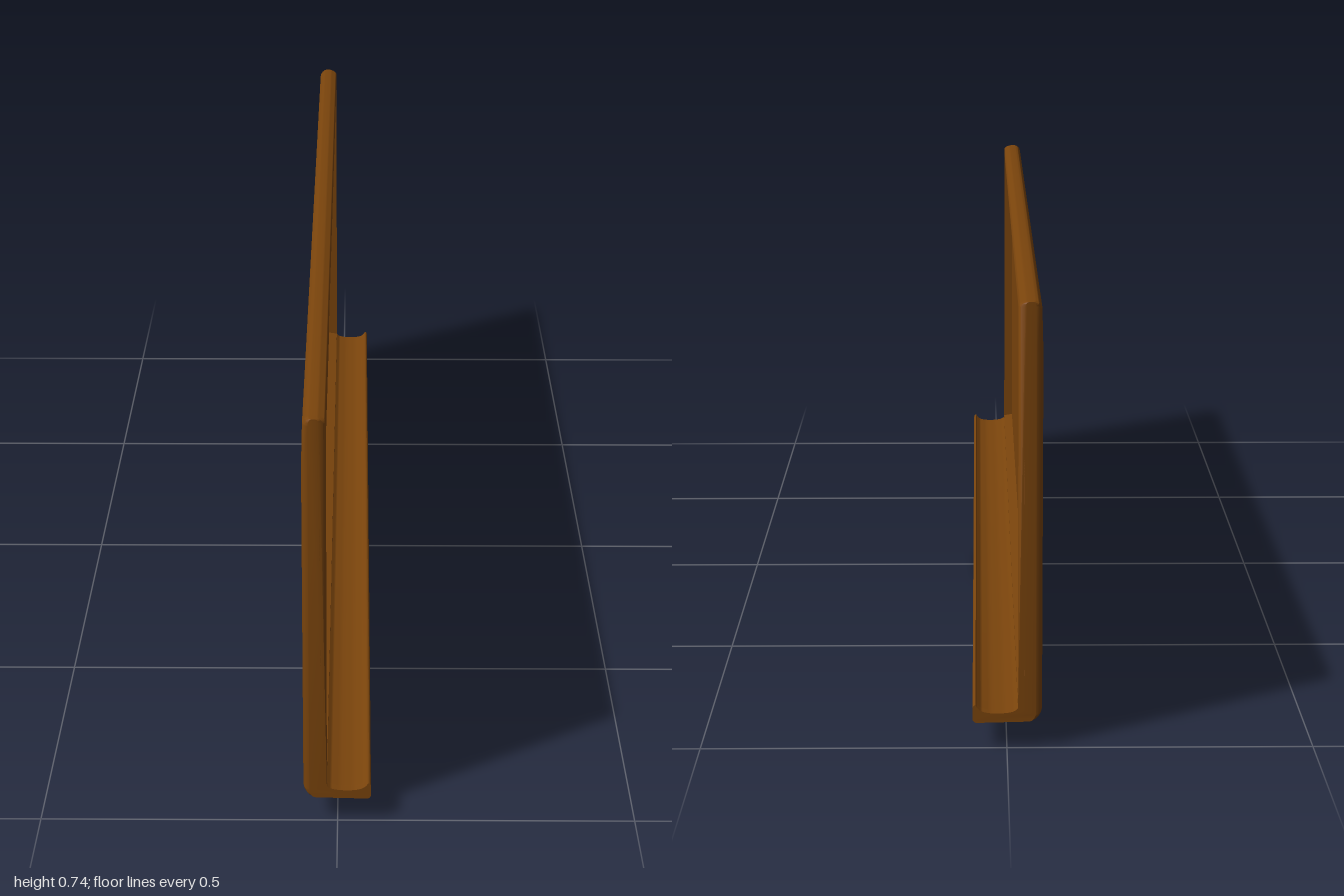
import * as THREE from 'three';
import { toCreasedNormals } from 'three/addons/utils/BufferGeometryUtils.js';
import { RoundedBoxGeometry } from 'three/addons/geometries/RoundedBoxGeometry.js';

const FRAME = 0.016; // width of the raised rim
const INNER = 1 - FRAME;
const FACE = -0.018; // front of the rim
const MID = -0.038; // middle of the board thickness
const INSET = -0.037; // front of the recessed panel

// Cross-section of board and tray, optionally with the panel recess cut in
function profile(recessed) {
  const s = new THREE.Shape();
  s.moveTo(-0.036, 0.045);
  s.lineTo(0.05, 0.043);
  s.quadraticCurveTo(0.056, 0.045, 0.056, 0.05);
  s.lineTo(0.056, 0.068);
  s.quadraticCurveTo(0.055, 0.074, 0.051, 0.073);
  s.bezierCurveTo(0.046, 0.062, 0.036, 0.06, 0.02, 0.059);
  s.bezierCurveTo(0, 0.059, -0.014, 0.061, FACE, 0.068);
  s.lineTo(FACE, 0.075);
  if (recessed) {
    s.lineTo(INSET, 0.078);
    s.lineTo(INSET, 0.737 - FRAME);
    s.lineTo(FACE, 0.74 - FRAME);
  }
  s.lineTo(FACE, 0.732);
  s.quadraticCurveTo(-0.02, 0.739, -0.032, 0.74);
  s.lineTo(-0.044, 0.74);
  s.quadraticCurveTo(-0.054, 0.739, -0.0555, 0.728);
  s.lineTo(-0.0575, 0.655);
  s.lineTo(-0.0575, 0.066);
  s.quadraticCurveTo(-0.057, 0.047, -0.036, 0.045);
  return s;
}

// Narrow the board towards its ends so that the upright edges are rounded
function roundEnds(geometry) {
  const p = geometry.attributes.position;
  for (let i = 0; i < p.count; i++) {
    const x = p.getX(i);
    const t = Math.min(1, Math.max(0, (Math.abs(p.getZ(i)) - INNER) / FRAME));
    const onFront = x > MID && x < FACE + 0.001 && p.getY(i) > 0.07;
    if (x < MID || onFront) {
      const shrink = 0.5 * (1 - Math.sqrt(1 - t * t));
      p.setX(i, x + (MID - x) * shrink);
    }
  }
}

function section(name, recessed, z0, z1, material) {
  const g = new THREE.ExtrudeGeometry(profile(recessed), {
    depth: z1 - z0, steps: recessed ? 1 : 5, bevelEnabled: false, curveSegments: 8,
  });
  g.translate(0, 0, z0);
  roundEnds(g);
  const mesh = new THREE.Mesh(toCreasedNormals(g, 0.6), material);
  mesh.name = name;
  return mesh;
}

export function createModel() {
  const wood = new THREE.MeshStandardMaterial({ color: 0x7a440c });
  wood.name = 'dark wood';
  const lightWood = new THREE.MeshStandardMaterial({ color: 0xbd6a26 });
  lightWood.name = 'light wood';

  const model = new THREE.Group();
  model.name = 'boardWithTray';

  // Long board with recessed panel, closed by full-depth rounded ends
  model.add(section('panelAndTray', true, -INNER, INNER, wood));
  model.add(section('frontEndRim', false, INNER, 1, wood));
  model.add(section('backEndRim', false, -1, -INNER, wood));

  // Pair of small blocks under the tray
  for (const side of [-1, 1]) {
    const block = new THREE.Mesh(new RoundedBoxGeometry(0.051, 0.045, 0.089, 2, 0.002), lightWood);
    block.position.set(0.0255, 0.0225, side * 0.045);
    block.name = side > 0 ? 'frontBlock' : 'backBlock';
    model.add(block);
  }
  return model;
}
